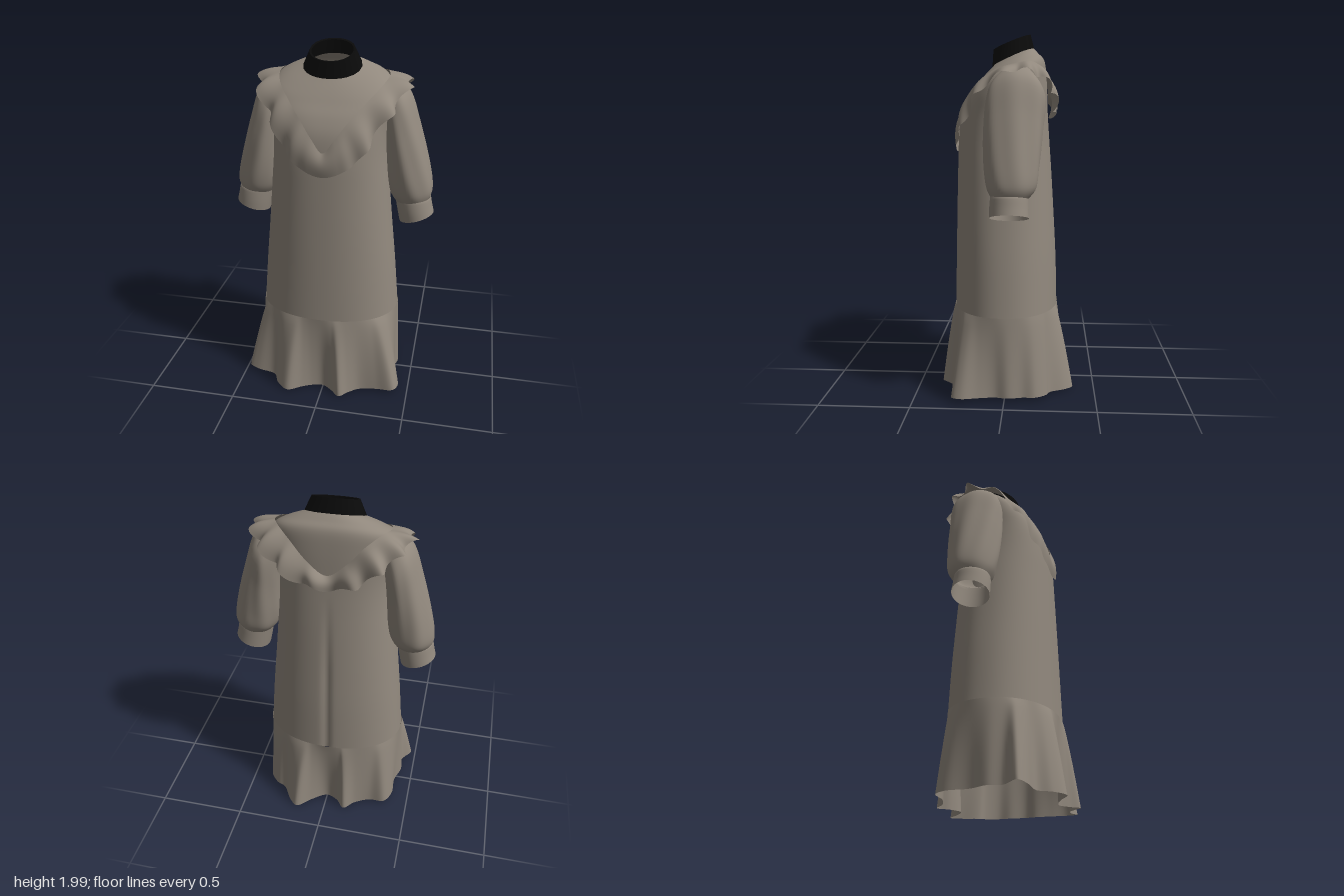
import * as THREE from 'three';
import { mergeVertices } from 'three/addons/utils/BufferGeometryUtils.js';

const TAU = Math.PI * 2;
const lerp = THREE.MathUtils.lerp;

// Smooth closed-loop surface from f(u, v) -> [x, y, z]; u wraps around
function loft(f, nu, nv) {
  const pos = [], idx = [];
  for (let j = 0; j <= nv; j++)
    for (let i = 0; i < nu; i++) pos.push(...f(i / nu, j / nv));
  for (let j = 0; j < nv; j++)
    for (let i = 0; i < nu; i++) {
      const a = j * nu + i, b = j * nu + (i + 1) % nu;
      idx.push(a, b, b + nu, a, b + nu, a + nu);
    }
  const g = new THREE.BufferGeometry();
  g.setAttribute('position', new THREE.Float32BufferAttribute(pos, 3));
  g.setIndex(idx);
  const merged = mergeVertices(g);
  merged.computeVertexNormals();
  return merged;
}

// Smooth interpolation through rows of numbers
function sampleRows(rows, v) {
  const s = v * (rows.length - 1), i = Math.min(Math.floor(s), rows.length - 2), t = s - i;
  const p = rows[Math.max(i - 1, 0)], a = rows[i], b = rows[i + 1], q = rows[Math.min(i + 2, rows.length - 1)];
  return a.map((_, k) => {
    const m0 = (b[k] - p[k]) / 2, m1 = (q[k] - a[k]) / 2, t2 = t * t, t3 = t2 * t;
    return (2 * t3 - 3 * t2 + 1) * a[k] + (t3 - 2 * t2 + t) * m0 + (3 * t2 - 2 * t3) * b[k] + (t3 - t2) * m1;
  });
}

// Tilted super-ellipse ring: row = [height, half width, front z, back z, tilt, squareness]
function ringPoint([y, hx, zf, zb, tilt, n], angle) {
  const zc = (zf + zb) / 2, hz = (zf - zb) / 2, s = Math.sin(angle), c = Math.cos(angle);
  const r = 1 / Math.pow(Math.pow(Math.abs(s) / hx, n) + Math.pow(Math.abs(c) / hz, n), 1 / n);
  const z = zc + r * c;
  return [r * s - 0.006, y - tilt * (z + 0.03), z];
}

const bodyRows = [
  [0.47, 0.402, 0.303, -0.286, 0, 2.2],
  [0.75, 0.378, 0.297, -0.278, 0, 2.2],
  [1.00, 0.352, 0.291, -0.264, 0, 2.25],
  [1.25, 0.328, 0.284, -0.248, 0, 2.3],
  [1.42, 0.312, 0.277, -0.235, 0, 2.4],
  [1.56, 0.31, 0.26, -0.225, 0, 2.5],
  [1.70, 0.322, 0.222, -0.218, 0.2, 2.6],
  [1.79, 0.318, 0.17, -0.205, 0.35, 2.6],
  [1.84, 0.25, 0.125, -0.17, 0.4, 2.3],
  [1.88, 0.145, 0.078, -0.138, 0.45, 2.1],
];

// Hem outline of the flounce, seen from above: [x, z]
const hemOutline = [
  [0, .29], [.06, .33], [.11, .375], [.16, .33], [.22, .29], [.32, .28], [.42, .285], [.445, .23],
  [.42, .14], [.40, .05], [.415, -.02], [.39, -.1], [.385, -.17], [.33, -.23], [.28, -.25],
  [.22, -.34], [.17, -.38], [.09, -.31], [0, -.25], [-.07, -.28], [-.12, -.335], [-.18, -.28],
  [-.27, -.24], [-.36, -.24], [-.40, -.17], [-.40, -.05], [-.43, .05], [-.42, .13], [-.475, .215],
  [-.42, .245], [-.31, .26], [-.27, .33], [-.2, .38], [-.12, .33], [-.06, .30],
];

// Half outlines of the yoke ruffle, front centre to back centre
const ruffleSeam = [
  [0, 1.48, .275], [.06, 1.55, .265], [.12, 1.63, .235], [.2, 1.72, .165], [.27, 1.79, .07],
  [.30, 1.83, -.06], [.27, 1.84, -.14], [.19, 1.79, -.205], [.1, 1.69, -.222], [0, 1.62, -.225],
];
const ruffleEdge = [
  [0, 1.35, .288], [.1, 1.38, .285], [.2, 1.46, .255], [.28, 1.59, .195], [.365, 1.71, .11],
  [.42, 1.79, -.05], [.375, 1.765, -.18], [.27, 1.68, -.26], [.14, 1.58, -.262], [0, 1.55, -.248],
];

const closedCurve = (pts) => new THREE.CatmullRomCurve3(pts.map((p) => new THREE.Vector3(...p)), true);
const mirrorLoop = (half) => closedCurve([...half, ...half.slice(1, -1).reverse().map(([x, y, z]) => [-x, y, z])]);

// Sleeve sections: inner x, inner y, outer x, outer y, front z, back z
const sleeveRows = [
  [.25, 1.73, .31, 1.82, .02, -.14],
  [.28, 1.58, .41, 1.75, .09, -.21],
  [.295, 1.42, .475, 1.57, .105, -.203],
  [.305, 1.27, .537, 1.35, .10, -.188],
  [.325, 1.18, .562, 1.21, .085, -.172],
  [.36, 1.13, .545, 1.145, .06, -.13],
];
const cuffRows = [
  [.36, 1.125, .545, 1.145, .06, -.125],
  [.358, 1.14, .555, 1.16, .065, -.13],
  [.372, 1.07, .566, 1.11, .07, -.133],
  [.385, 1.01, .576, 1.07, .07, -.135],
];

// Tube point on a sleeve section, with optional soft folds
function sleevePoint(rows, side, u, v, fold) {
  const [ix, iy, ox, oy, zf, zb] = sampleRows(rows, v);
  const a = u * TAU, k = 1 + fold * Math.sin(a * 7 + v * 5) * Math.sin(Math.PI * v);
  const c = Math.cos(a) * k, s = Math.sin(a) * k;
  return [
    side * ((ix + ox) / 2 + c * (ox - ix) / 2),
    (iy + oy) / 2 + c * (oy - iy) / 2,
    (zf + zb) / 2 + s * (zf - zb) / 2,
  ];
}

export function createModel() {
  const group = new THREE.Group();
  const fabric = new THREE.MeshStandardMaterial({ color: 0x91887d, side: THREE.DoubleSide });
  fabric.name = 'taupe fabric';
  const trim = new THREE.MeshStandardMaterial({ color: 0x0a0a0a, side: THREE.DoubleSide });
  trim.name = 'black trim';
  const add = (name, geometry, material = fabric) => {
    const mesh = new THREE.Mesh(geometry, material);
    mesh.name = name;
    group.add(mesh);
  };

  // Dress body, with a soft groove down the centre back
  add('body', loft((u, v) => {
    const p = ringPoint(sampleRows(bodyRows, v), u * TAU);
    const groove = Math.exp(-Math.pow((u - 0.5) / 0.012, 2)) * THREE.MathUtils.clamp((1.5 - p[1]) / 0.5, 0, 1);
    p[2] += 0.014 * groove;
    return p;
  }, 120, 45));

  // Gathered flounce from the body's lower seam to the wavy hem
  const hem = closedCurve(hemOutline.map(([x, z]) => [x, 0, z]));
  add('skirtFlounce', loft((u, v) => {
    const h = hem.getPoint(u);
    const top = ringPoint(bodyRows[0], Math.atan2(h.x, h.z));
    const s = Math.pow(v, 0.8);
    const hemY = 0.01 + 0.035 * Math.pow(Math.abs(h.x) / 0.48, 2);
    return [lerp(top[0] * 1.005, h.x, s), lerp(0.48, hemY, v), lerp(top[2] * 1.005, h.z, s)];
  }, 210, 16));

  // Ruffle along the V-shaped yoke seam, calm at the front point
  const seam = mirrorLoop(ruffleSeam), edge = mirrorLoop(ruffleEdge);
  add('yokeRuffle', loft((u, v) => {
    const p = seam.getPoint(u).lerp(edge.getPoint(u), v);
    const fromFront = Math.min(u, 1 - u);
    const amp = 0.024 * v * THREE.MathUtils.smoothstep(fromFront, 0.04, 0.18);
    const phase = u * TAU * 17 + 1.2 * Math.sin(u * TAU * 3);
    const out = new THREE.Vector3(p.x, 0.12, p.z).normalize();
    p.addScaledVector(out, amp * Math.sin(phase) + 0.018 * Math.sin(Math.PI * v));
    p.y += amp * 0.5 * Math.cos(phase);
    return p.toArray();
  }, 260, 8));

  // Puffed sleeves with fitted cuffs
  for (const [side, label] of [[1, 'left'], [-1, 'right']]) {
    add(label + 'Sleeve', loft((u, v) => sleevePoint(sleeveRows, side, u, v, 0.025), 56, 30));
    add(label + 'Cuff', loft((u, v) => sleevePoint(cuffRows, side, u, v, 0), 40, 9));
  }

  // Tilted stand collar: outside, rim and inside as separate bands to keep the rim crisp
  const collarRings = [
    [1.875, 0.16, 0.088, -0.146, 0.42, 2.1],
    [1.96, 0.122, 0.083, -0.126, 0.4, 2.1],
    [1.958, 0.112, 0.074, -0.117, 0.4, 2.1],
    [1.875, 0.135, 0.074, -0.13, 0.42, 2.1],
  ];
  ['collarOutside', 'collarRim', 'collarInside'].forEach((name, i) =>
    add(name, loft((u, v) => {
      const row = collarRings[i].map((a, k) => lerp(a, collarRings[i + 1][k], v));
      return ringPoint(row, u * TAU);
    }, 24, 2), trim));

  return group;
}
